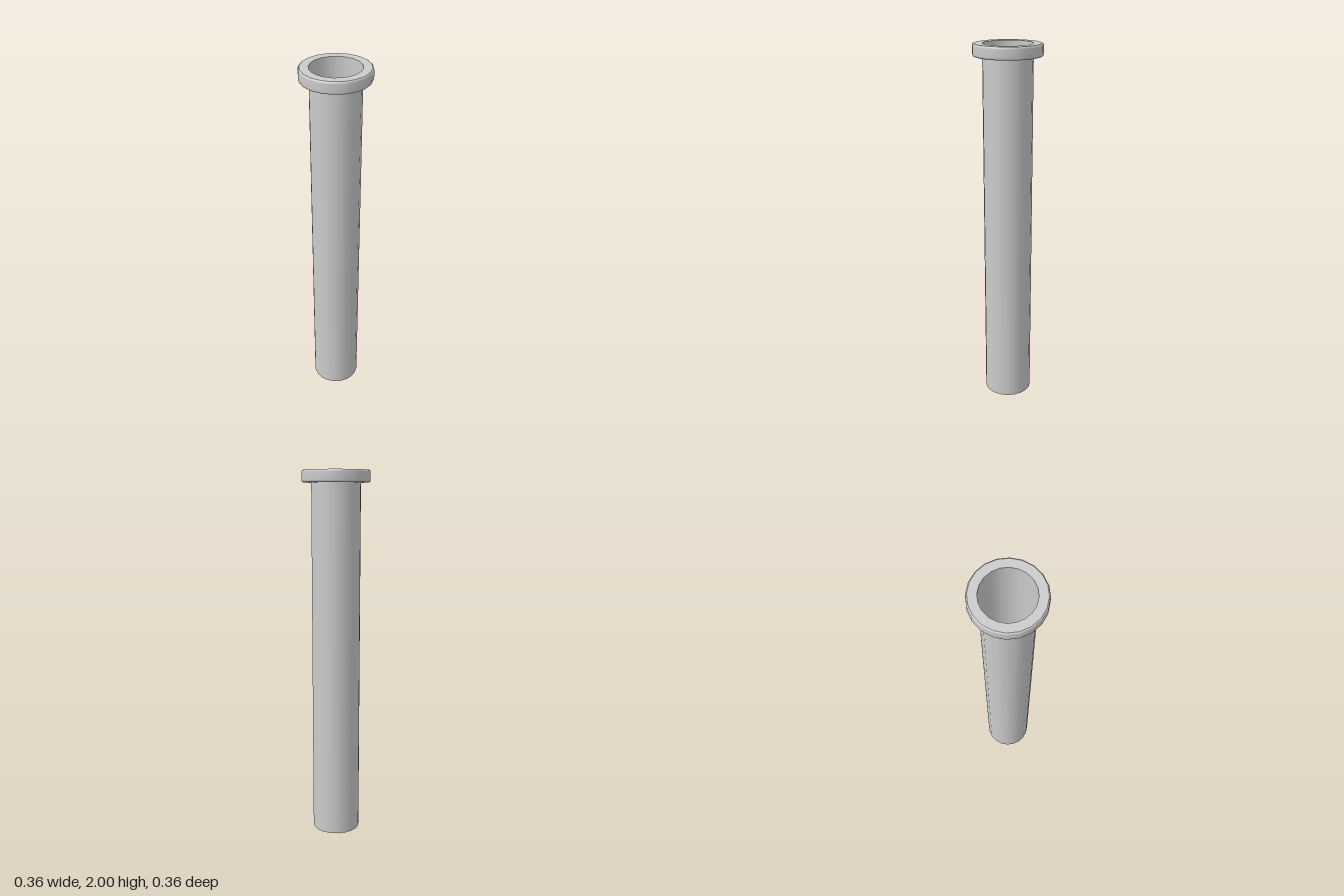
import * as THREE from 'three';

const SIDES = 20;
const TUBE_R = 0.131;

export function createModel() {
  const model = new THREE.Group();
  model.name = 'flangedTube';
  const material = new THREE.MeshStandardMaterial({ color: 0xcccccc, side: THREE.DoubleSide });

  const add = (name, geometry) => {
    const mesh = new THREE.Mesh(geometry, material);
    mesh.name = name;
    model.add(mesh);
    return mesh;
  };
  const lathe = (points) =>
    new THREE.LatheGeometry(points.map(([r, y]) => new THREE.Vector2(r, y)), SIDES);

  // Thin hollow wall, open at the top
  add('tubeWall', lathe([[TUBE_R, 0], [TUBE_R, 2]]));

  // Closed bottom end
  add('tubeBottom', lathe([[0, 0], [TUBE_R, 0]]));

  // Collar: flat underside, softly rounded outer band, flat top ring
  add('collarUnderside', lathe([[TUBE_R, 1.936], [0.172, 1.936]]));
  add('collarBand', lathe([
    [0.172, 1.936], [0.179, 1.939], [0.182, 1.947],
    [0.182, 1.989], [0.18, 1.997], [0.175, 2],
  ]));
  add('collarTop', lathe([[0.175, 2], [TUBE_R, 2]]));

  return model;
}
